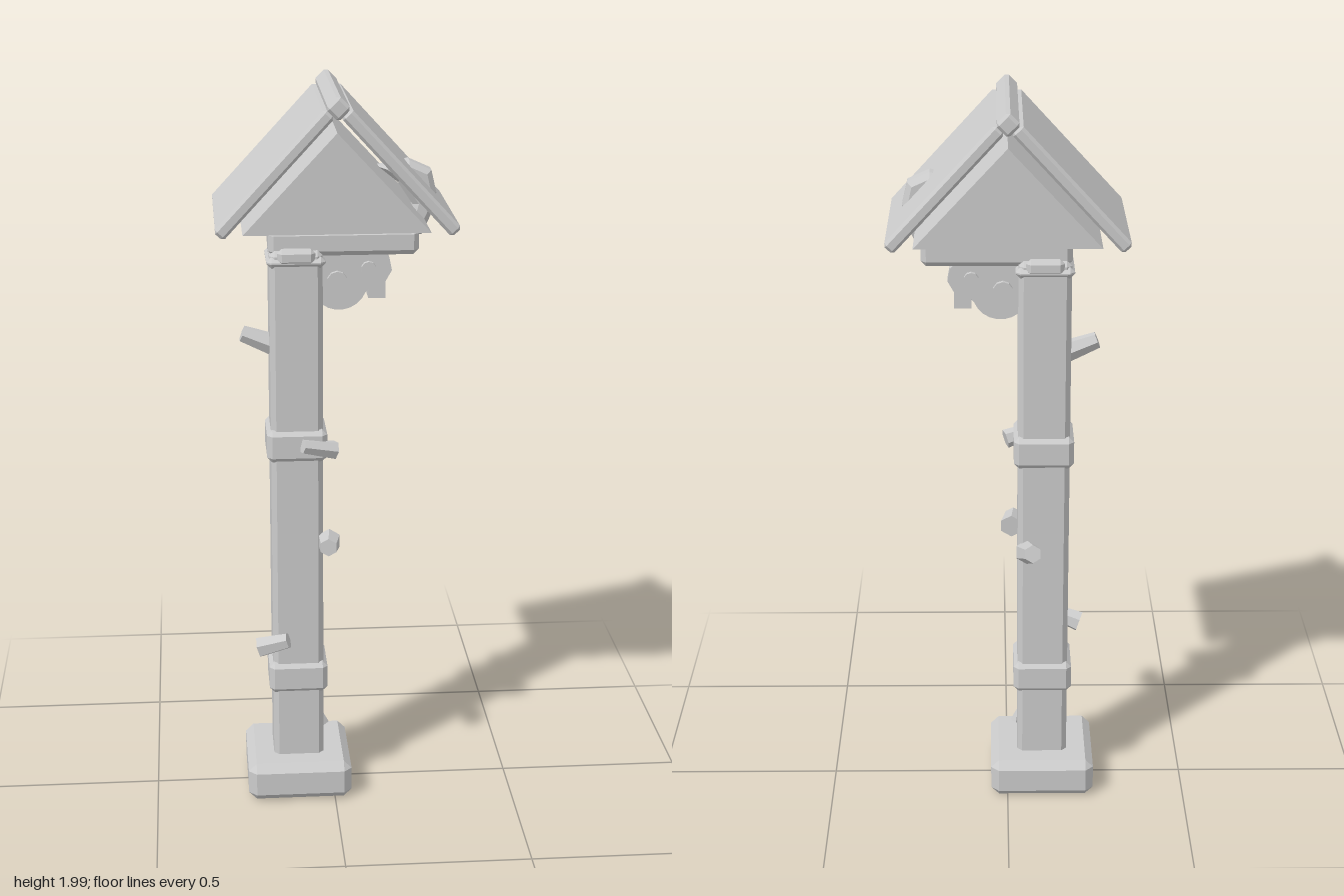
import * as THREE from 'three';
import { ConvexGeometry } from 'three/addons/geometries/ConvexGeometry.js';

const stone = new THREE.MeshStandardMaterial({ color: 0xcccccc, flatShading: true });
stone.name = 'pale grey';

// Box with all edges chamfered by c
function chamferBox(w, h, d, c) {
  const pts = [];
  for (const x of [-1, 1]) for (const y of [-1, 1]) for (const z of [-1, 1]) {
    const a = [x * w / 2, y * h / 2, z * d / 2];
    const s = [x * c, y * c, z * c];
    for (let k = 0; k < 3; k++) {
      pts.push(new THREE.Vector3(...a.map((v, i) => (i === k ? v : v - s[i]))));
    }
  }
  return new ConvexGeometry(pts);
}

// Outline extruded along z, centred on z = 0
function plate(points, depth, bevel = 0) {
  const shape = new THREE.Shape(points.map(p => new THREE.Vector2(...p)));
  const geo = new THREE.ExtrudeGeometry(shape, {
    depth: depth - 2 * bevel, bevelEnabled: bevel > 0, bevelSize: bevel,
    bevelOffset: -bevel, bevelThickness: bevel, bevelSegments: 1,
  });
  return geo.translate(0, 0, -depth / 2 + bevel);
}

export function createModel() {
  const model = new THREE.Group();
  const add = (name, geo, pos = [0, 0, 0], rot = [0, 0, 0]) => {
    const mesh = new THREE.Mesh(geo, stone);
    mesh.name = name;
    mesh.position.set(...pos);
    mesh.rotation.set(...rot);
    model.add(mesh);
    return mesh;
  };
  const px = -0.098;

  // Post with foot, bands and collar
  add('base', chamferBox(0.29, 0.11, 0.29, 0.022), [px, 0.055, 0]);
  add('post', chamferBox(0.14, 1.5, 0.14, 0.014), [px, 0.82, 0]);
  for (const y of [0.35, 1.035]) {
    add('band', chamferBox(0.162, 0.09, 0.162, 0.014), [px, y, 0]);
  }
  add('collar', chamferBox(0.155, 0.03, 0.155, 0.013), [px, 1.54, 0]);
  for (const s of [-1, 1]) {
    add('collarPeg', chamferBox(0.1, 0.045, 0.03, 0.012), [px, 1.555, s * 0.066]);
  }

  // Arm carrying the roof
  add('beam', chamferBox(0.395, 0.07, 0.11, 0.014), [0.028, 1.587, 0]);
  add('saddle', chamferBox(0.32, 0.035, 0.08, 0.008), [0.03, 1.63, 0]);

  // Upturned beam tip piercing the roof
  add('beamTip', plate([[0.19, 1.6], [0.235, 1.6], [0.262, 1.66], [0.272, 1.71],
    [0.258, 1.77], [0.2, 1.796], [0.12, 1.78], [0.17, 1.74], [0.21, 1.68]], 0.066, 0.014));

  // Scalloped bracket under the arm
  const outline = [[-0.035, 1.56], [-0.035, 1.46]];
  for (let i = 0; i <= 8; i++) {
    const a = Math.PI * (1.2 + i * 0.085);
    outline.push([0.018 + 0.075 * Math.cos(a), 1.475 + 0.075 * Math.sin(a)]);
  }
  outline.push([0.095, 1.455], [0.095, 1.43], [0.14, 1.43], [0.14, 1.475],
    [0.157, 1.505], [0.15, 1.54], [0.13, 1.56]);
  add('bracket', plate(outline, 0.05));
  for (const [x, y, r] of [[0.012, 1.48, 0.027], [0.095, 1.512, 0.02]]) {
    add('bracketBoss', new THREE.CylinderGeometry(r, r, 0.076, 10), [x, y, 0], [Math.PI / 2, 0, 0]);
  }

  // Roof: two slabs, ridge bar and solid gable block
  for (const s of [-1, 1]) {
    add('roofSlab', chamferBox(0.416, 0.035, 0.432, 0.008), [s * 0.161, 1.8, 0], [0, 0, -s * 0.826]);
  }
  add('ridge', chamferBox(0.047, 0.047, 0.462, 0.008), [0, 1.967, 0], [0, 0, Math.PI / 4]);
  add('gable', plate([[-0.24, 1.643], [0.24, 1.643], [0, 1.9]], 0.38));

  // Small tapered stones stuck on the post
  const nubs = [
    // x, y, z, length, radius, tilt about x, y, z
    [-0.2, 1.318, 0, 0.085, 0.03, 0, 0, 1.2],
    [-0.04, 1.032, 0.08, 0.095, 0.026, 0.9, 0, 1.2],
    [-0.015, 0.76, 0.095, 0.065, 0.033, 1.5, 0, 0.1],
    [-0.06, 0.755, -0.105, 0.08, 0.033, -1.2, 0, 0.2],
    [-0.167, 0.462, 0.085, 0.085, 0.03, 0.6, 0, -1.2],
  ];
  for (const [x, y, z, len, r, ...rot] of nubs) {
    add('stoneNub', new THREE.CylinderGeometry(r * 0.75, r, len, 6), [x, y, z], rot);
  }
  add('chip', new THREE.ConeGeometry(0.016, 0.045, 4), [-0.028, 0.192, 0], [0, 0, 0.15]);

  return model;
}
